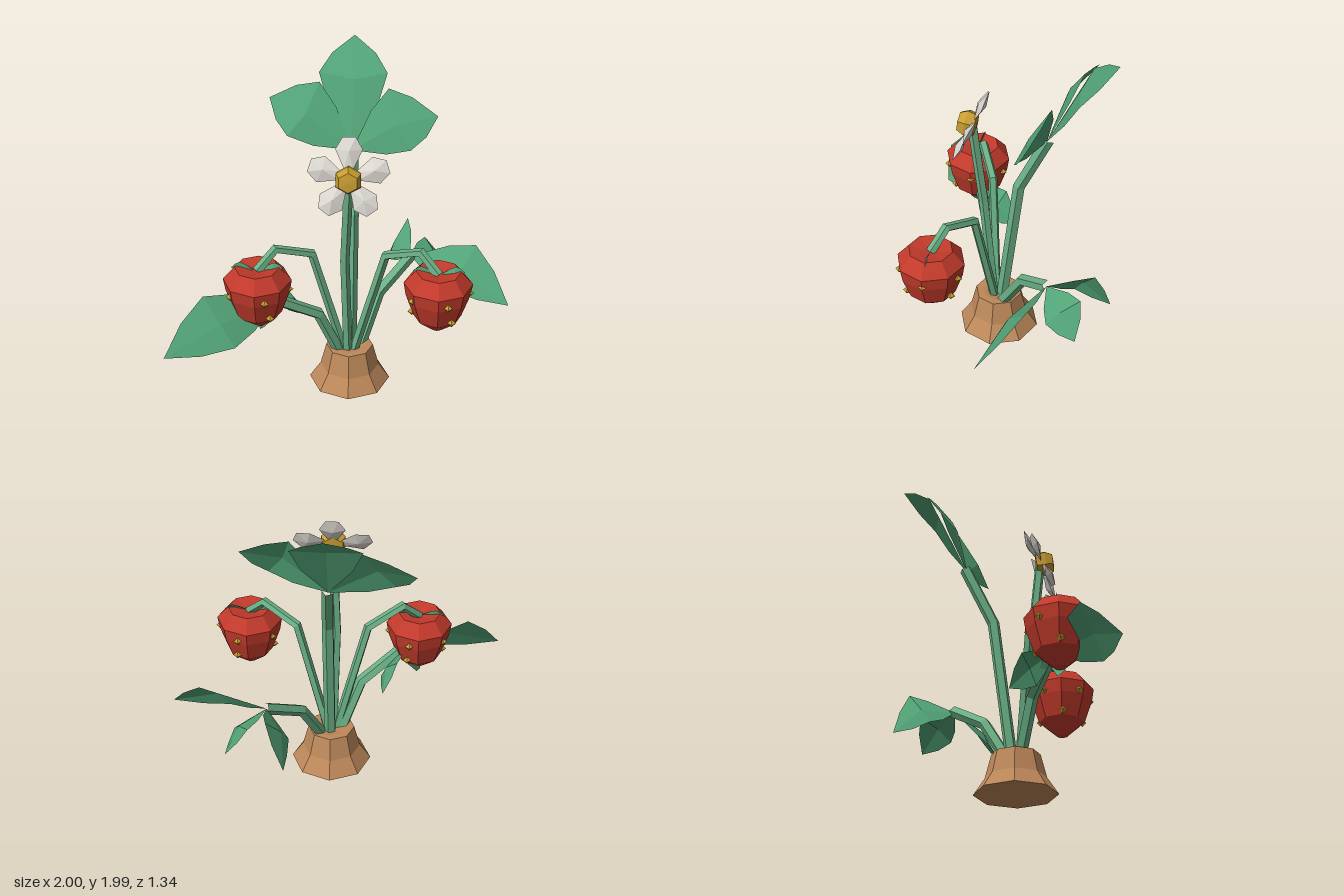
import * as THREE from 'three';
import { ConvexGeometry } from 'three/addons/geometries/ConvexGeometry.js';

const V = (p) => new THREE.Vector3(...p);

const material = (name, color, side = THREE.FrontSide) => {
  const m = new THREE.MeshStandardMaterial({ color, side });
  m.name = name;
  return m;
};

// Faceted normals for the low-poly look
function flat(geometry) {
  const g = geometry.index ? geometry.toNonIndexed() : geometry;
  g.computeVertexNormals();
  return g;
}

// Curve through corners, so a tube gets one mitred ring per corner
class Bends extends THREE.Curve {
  constructor(points) { super(); this.points = points.map(V); }
  getPoint(t) {
    const n = this.points.length - 1, i = Math.min(Math.floor(t * n + 1e-6), n - 1);
    return this.points[i].clone().lerp(this.points[i + 1], t * n - i);
  }
  getPointAt(u) { return this.getPoint(u); }
  getTangentAt(u) {
    const n = this.points.length - 1, i = Math.round(u * n), p = this.points, d = new THREE.Vector3();
    if (i > 0) d.add(p[i].clone().sub(p[i - 1]).normalize());
    if (i < n) d.add(p[i + 1].clone().sub(p[i]).normalize());
    return d.normalize();
  }
}

// Folded leaf: a rib from base to tip and two bowed edges through a and b
function leafGeometry(base, tip, a, b, fold = 0.035) {
  const [B, T, A, C] = [base, tip, a, b].map(V);
  const centre = A.clone().add(C).multiplyScalar(0.5);
  const normal = A.clone().sub(C).cross(T.clone().sub(B)).normalize();
  const straight = B.clone().lerp(T, 0.5);
  const M = straight.lerp(centre, 0.6).addScaledVector(normal, -fold);
  const rib = [B, B.clone().lerp(M, 0.5), M, M.clone().lerp(T, 0.5), T];
  const edge = (E) => {
    const out = E.clone().sub(M);
    return [B, B.clone().lerp(E, 0.55).addScaledVector(out, 0.16), E,
      E.clone().lerp(T, 0.5).addScaledVector(out, 0.14), T];
  };
  const left = edge(A), right = edge(C), tris = [];
  for (let i = 0; i < 4; i++) {
    tris.push(rib[i], rib[i + 1], left[i + 1], rib[i], left[i + 1], left[i]);
    tris.push(rib[i], right[i + 1], rib[i + 1], rib[i], right[i], right[i + 1]);
  }
  return flat(new THREE.BufferGeometry().setFromPoints(tris));
}

export function createModel() {
  const model = new THREE.Group();
  model.name = 'strawberryPlant';
  const mats = {
    soil: material('earthBrown', 0xbd885a),
    stem: material('stemGreen', 0x6bb086),
    leaf: material('leafGreen', 0x52a377, THREE.DoubleSide),
    berry: material('berryRed', 0xc23a2b),
    gold: material('seedGold', 0xc79c31),
    petal: material('petalWhite', 0xd9d5cf),
  };
  const add = (name, geometry, mat, parent = model) => {
    const mesh = new THREE.Mesh(geometry, mat);
    mesh.name = name;
    parent.add(mesh);
    return mesh;
  };
  const lathe = (profile, sides) =>
    flat(new THREE.LatheGeometry(profile.map((p) => new THREE.Vector2(...p)), sides));

  // Flared eight-sided base
  add('base', lathe([[0, 0], [0.245, 0], [0.178, 0.1], [0.142, 0.24], [0.1, 0.24], [0, 0.22]], 8), mats.soil)
    .position.set(0.04, 0, 0.07);

  // Stems
  const stem = (name, points, radius) =>
    add(name, flat(new THREE.TubeGeometry(new Bends(points), points.length - 1, radius, 5)), mats.stem);
  stem('tallLeafStem', [[0.045, 0.18, 0.05], [0.05, 1.08, -0.06], [0.04, 1.44, -0.23]], 0.037);
  stem('flowerStem', [[0.03, 0.18, 0.1], [0.012, 0.9, 0.165], [0.036, 1.45, 0.22]], 0.03);
  stem('rightLeafStem', [[-0.01, 0.18, 0.09], [-0.14, 0.52, 0.17], [-0.4, 0.7, 0.3]], 0.037);
  stem('leftLeafStem', [[0.09, 0.18, 0.05], [0.21, 0.5, -0.12], [0.41, 0.66, -0.32]], 0.037);

  // Leaves in threes: base, then [tip, one edge, other edge]
  const trefoils = {
    tallLeaf: [[0.04, 1.42, -0.22], [
      [[0.04, 1.985, -0.62], [-0.165, 1.82, -0.44], [0.24, 1.82, -0.44]],
      [[-0.46, 1.66, -0.42], [-0.345, 1.49, -0.25], [-0.16, 1.78, -0.39]],
      [[0.54, 1.66, -0.2], [0.25, 1.79, -0.29], [0.385, 1.48, -0.11]]]],
    rightLeaf: [[-0.39, 0.68, 0.29], [
      [[-1, 0.51, 0.665], [-0.6, 0.53, 0.57], [-0.79, 0.8, 0.45]],
      [[-0.48, 0.5, 0.32], [-0.5, 0.6, 0.25], [-0.42, 0.58, 0.37]],
      [[-0.275, 0.52, 0.045], [-0.36, 0.7, 0.12], [-0.26, 0.54, 0.2]]]],
    leftLeaf: [[0.4, 0.65, -0.31], [
      [[1, 0.48, -0.03], [0.8, 0.76, -0.27], [0.64, 0.53, -0.12]],
      [[0.63, 0.47, -0.53], [0.49, 0.66, -0.53], [0.59, 0.53, -0.35]],
      [[0.275, 0.48, -0.67], [0.26, 0.54, -0.45], [0.38, 0.76, -0.59]]]],
  };
  for (const [name, [base, leaflets]] of Object.entries(trefoils))
    for (const [tip, a, b] of leaflets) add(name, leafGeometry(base, tip, a, b), mats.leaf);

  // Berries with seeds, calyx and arched stalks
  const berryShape = lathe([[0, -0.255], [0.035, -0.25], [0.14, -0.16], [0.187, -0.025],
    [0.2, 0.055], [0.13, 0.135], [0, 0.11]], 8);
  const seedShape = flat(new THREE.OctahedronGeometry(0.026));
  for (const side of [-1, 1]) {
    const cx = 0.0375 + side * 0.5225;
    const at = (d) => 0.0375 + side * d;
    stem('berryStalk', [[at(0.02), 0.18, 0.09], [at(0.215), 0.93, 0.16], [at(0.42), 1.02, 0.27],
      [at(0.5225), 0.91, 0.335]], 0.029);
    const berry = new THREE.Group();
    berry.name = 'berry';
    berry.position.set(cx, 0.8, 0.335);
    model.add(berry);
    add('fruit', berryShape, mats.berry, berry);
    const seed = (degrees, r, y) => {
      const a = THREE.MathUtils.degToRad(degrees);
      add('seed', seedShape, mats.gold, berry).position.set(Math.sin(a) * r, y, Math.cos(a) * r);
    };
    for (let i = 0; i < 5; i++) seed(18 + 72 * i, 0.182, -0.005);
    for (let i = 0; i < 3; i++) seed(33 + 120 * i, 0.148, -0.135);
    for (const s of [-1, 1])
      add('calyxLeaf', leafGeometry([s * 0.02, 0.12, 0], [s * 0.15, 0.125, -0.01],
        [s * 0.1, 0.16, -0.015], [s * 0.08, 0.1, 0.01], 0.008), mats.leaf, berry);
  }

  // Flower, tilted slightly upward
  const flower = new THREE.Group();
  flower.name = 'flower';
  flower.position.set(0.037, 1.465, 0.225);
  flower.rotation.x = -0.43;
  model.add(flower);
  const petalShape = flat(new ConvexGeometry([
    [-0.025, 0.05, 0], [0.025, 0.05, 0], [-0.078, 0.165, -0.01], [0.078, 0.165, -0.01],
    [-0.038, 0.235, 0], [0.038, 0.235, 0], [0, 0.155, 0.025], [0, 0.155, -0.025]].map(V)));
  for (let i = 0; i < 5; i++)
    add('petal', petalShape, mats.petal, flower).rotation.z = i * Math.PI * 0.4;
  const heart = add('flowerCentre',
    lathe([[0, -0.03], [0.07, -0.025], [0.082, 0.03], [0.06, 0.075], [0, 0.08]], 6), mats.gold, flower);
  heart.rotation.x = Math.PI / 2 + 0.3;

  return model;
}
